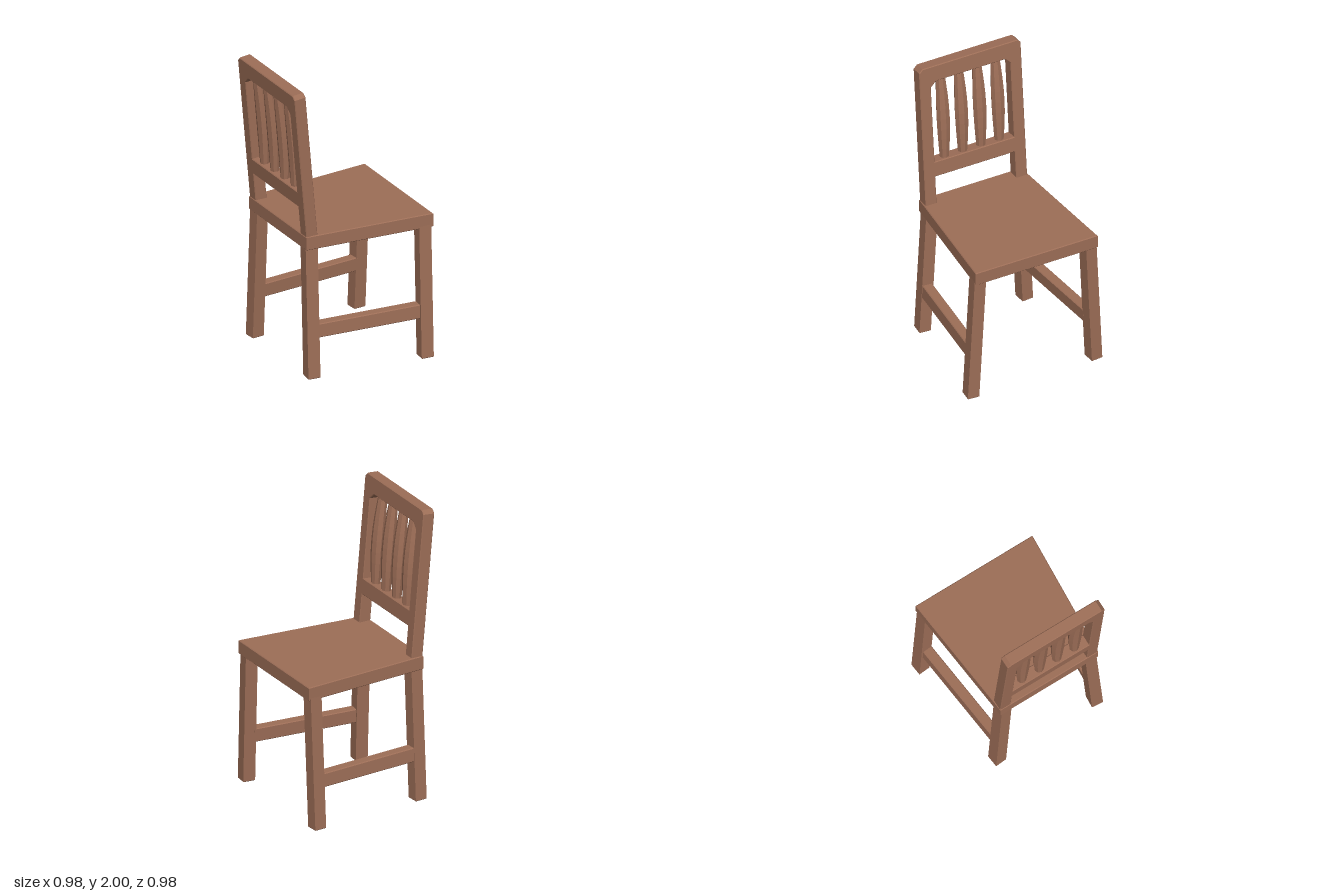
import * as THREE from 'three';

const wood = new THREE.MeshStandardMaterial({ color: 0x9d6e57 });
wood.name = 'brown wood';

const BEVEL = 0.005;
const bevelOptions = (depth) => ({
  depth: depth - 2 * BEVEL, bevelEnabled: true, bevelSegments: 1,
  bevelSize: BEVEL, bevelThickness: BEVEL, bevelOffset: -BEVEL,
});
const shapeOf = (pts) => new THREE.Shape(pts.map(([x, y]) => new THREE.Vector2(x, y)));

function addMesh(parent, name, geometry) {
  const mesh = new THREE.Mesh(geometry, wood);
  mesh.name = name;
  parent.add(mesh);
  return mesh;
}

// Upright prism from a plan outline of [x, z] points, leaning by leanX and leanZ per unit of height
function prism(plan, y0, y1, leanX = 0, leanZ = 0) {
  const geo = new THREE.ExtrudeGeometry(shapeOf(plan.map(([x, z]) => [x, -z])), bevelOptions(y1 - y0));
  geo.rotateX(-Math.PI / 2).translate(0, y0 + BEVEL, 0);
  const p = geo.attributes.position;
  for (let i = 0; i < p.count; i++) {
    const y = p.getY(i);
    p.setXYZ(i, p.getX(i) + leanX * y, y, p.getZ(i) + leanZ * y);
  }
  geo.computeVertexNormals();
  return geo;
}

// Rectangle in plan, turned to follow the flared side of the seat
const YAW = 0.084;
function turnedRect(cx, cz, length, width, side) {
  const c = Math.cos(YAW), s = Math.sin(YAW);
  return [[-1, -1], [1, -1], [1, 1], [-1, 1]].map(([a, b]) => {
    const u = a * length / 2, v = b * width / 2;
    return [cx + u * c - v * s, side * (cz + u * s + v * c)];
  });
}

// Faceted back slat: swells in the middle and bows forward
function slatGeometry(height) {
  const geo = new THREE.CylinderGeometry(1, 1, height, 8, 8, true).toNonIndexed();
  const p = geo.attributes.position;
  for (let i = 0; i < p.count; i++) {
    const swell = Math.cos((p.getY(i) / height) * Math.PI);
    p.setX(i, p.getX(i) * (0.03 + 0.01 * swell) + 0.012 * swell);
    p.setZ(i, p.getZ(i) * (0.031 + 0.016 * swell));
  }
  geo.computeVertexNormals();
  return geo;
}

export function createModel() {
  const chair = new THREE.Group();
  chair.name = 'chair';

  // Seat, wider at the front edge
  addMesh(chair, 'seat', prism([[-0.405, -0.372], [0.49, -0.445], [0.49, 0.445], [-0.405, 0.372]], 0.895, 0.99));

  // Splayed legs and side stretchers
  for (const side of [1, -1]) {
    const label = side > 0 ? 'Left' : 'Right';
    const lean = -0.051 * side;
    addMesh(chair, 'backLeg' + label, prism(turnedRect(-0.363, 0.371, 0.085, 0.08, side), 0, 0.93, 0.006, lean));
    addMesh(chair, 'frontLeg' + label, prism(turnedRect(0.429, 0.447, 0.085, 0.08, side), 0, 0.93, 0.008, lean));
    addMesh(chair, 'stretcher' + label, prism(turnedRect(0.033, 0.407, 0.74, 0.068, side), 0.275, 0.37, 0.007, lean));
  }

  // Reclined backrest, modelled upright and then tilted
  const back = new THREE.Group();
  back.name = 'backrest';
  back.position.set(-0.357, 0.95, 0);
  back.rotation.z = 0.0893;
  chair.add(back);

  const W = 0.37, I = 0.29, H = 1.05, railLow = 0.231, railHigh = 0.341, topRail = 0.934;
  const frame = shapeOf([
    [-W, 0], [-I, 0], [-I, railLow], [I, railLow], [I, 0], [W, 0],
    [W, H - 0.025], [W - 0.025, H], [-W + 0.025, H], [-W, H - 0.025],
  ]);
  frame.holes.push(new THREE.Path([
    [-I, railHigh], [-I, topRail - 0.04], [-I + 0.04, topRail],
    [I - 0.04, topRail], [I, topRail - 0.04], [I, railHigh],
  ].map(([x, y]) => new THREE.Vector2(x, y))));
  const frameGeo = new THREE.ExtrudeGeometry(frame, bevelOptions(0.082));
  frameGeo.translate(0, 0, BEVEL - 0.041).rotateY(Math.PI / 2);
  addMesh(back, 'backFrame', frameGeo);

  // Four slats between the rails
  const slatGeo = slatGeometry(topRail - railHigh + 0.02);
  for (let i = 0; i < 4; i++) {
    addMesh(back, 'backSlat' + (i + 1), slatGeo)
      .position.set(0, (topRail + railHigh) / 2, (i - 1.5) * 0.133);
  }

  return chair;
}
